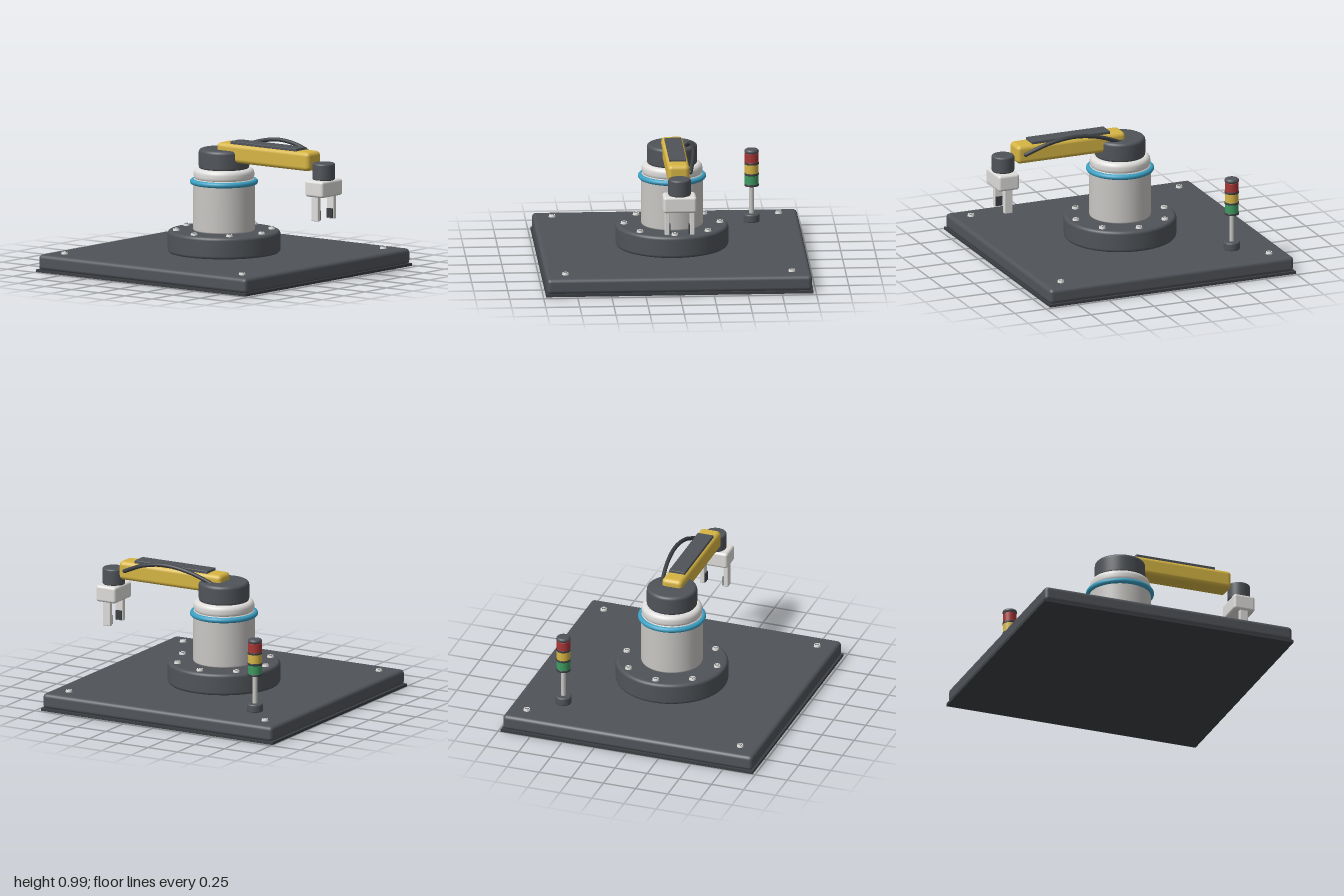
import * as THREE from 'three';
import { RoundedBoxGeometry } from 'three/addons/geometries/RoundedBoxGeometry.js';

const paint = (name, color) => {
  const m = new THREE.MeshStandardMaterial({ color });
  m.name = name;
  return m;
};

export function createModel() {
  const dark = paint('dark grey', 0x505459);
  const rubber = paint('charcoal', 0x3c3f43);
  const shell = paint('light grey', 0xc9c7c4);
  const white = paint('off white', 0xdedddb);
  const yellow = paint('yellow', 0xd6b544);
  const blue = paint('blue', 0x3aa0c4);
  const red = paint('red', 0xa83636);
  const green = paint('green', 0x3f9a62);

  const model = new THREE.Group();
  model.name = 'robotArmStation';

  const add = (name, geometry, material, x = 0, y = 0, z = 0, parent = model) => {
    const mesh = new THREE.Mesh(geometry, material);
    mesh.name = name;
    mesh.position.set(x, y, z);
    parent.add(mesh);
    return mesh;
  };

  // Closed cylinder from y0 to y1 with rounded rims
  const drum = (name, r, y0, y1, bevel, material, x, z, parent = model) => {
    const h = y1 - y0;
    const pts = [new THREE.Vector2(0, 0)];
    for (let i = 0; i <= 5; i++) {
      const a = (i / 5) * Math.PI / 2;
      pts.push(new THREE.Vector2(r - bevel + bevel * Math.sin(a), bevel - bevel * Math.cos(a)));
    }
    for (let i = 0; i <= 5; i++) {
      const a = (i / 5) * Math.PI / 2;
      pts.push(new THREE.Vector2(r - bevel + bevel * Math.cos(a), h - bevel + bevel * Math.sin(a)));
    }
    pts.push(new THREE.Vector2(0, h));
    return add(name, new THREE.LatheGeometry(pts, 48), material, x, y0, z, parent);
  };

  // Box given by its limits, with rounded edges
  const block = (name, [x0, x1], [y0, y1], [z0, z1], r, material, parent = model) =>
    add(name, new RoundedBoxGeometry(x1 - x0, y1 - y0, z1 - z0, 4, r), material,
      (x0 + x1) / 2, (y0 + y1) / 2, (z0 + z1) / 2, parent);

  // Floor plate and slab
  const cx = -0.02;
  add('floorPlate', new THREE.BoxGeometry(1.96, 0.02, 1.96), rubber, cx, 0.01, 0);
  block('baseSlab', [-0.99, 0.955], [0.015, 0.13], [-0.972, 0.972], 0.03, dark);

  // Bolts with a recessed-looking centre
  const bolts = new THREE.Group();
  bolts.name = 'bolts';
  model.add(bolts);
  const bolt = (x, y, z) => {
    add('boltHead', new THREE.CylinderGeometry(0.022, 0.026, 0.018, 16), white, x, y + 0.007, z, bolts);
    add('boltSocket', new THREE.CylinderGeometry(0.016, 0.016, 0.003, 6), dark, x, y + 0.016, z, bolts);
    add('boltCentre', new THREE.CylinderGeometry(0.011, 0.011, 0.003, 12), shell, x, y + 0.018, z, bolts);
  };
  for (const x of [-0.85, 0.81]) for (const z of [-0.83, 0.83]) bolt(x, 0.13, z);
  for (let i = 0; i < 8; i++) {
    const a = (i * Math.PI) / 4;
    bolt(cx + 0.352 * Math.cos(a), 0.29, 0.352 * Math.sin(a));
  }

  // Pedestal, column and shoulder
  drum('pedestal', 0.413, 0.125, 0.29, 0.025, dark, cx, 0);
  drum('column', 0.226, 0.285, 0.675, 0.015, shell, cx, 0);
  drum('collar', 0.222, 0.66, 0.75, 0.035, white, cx, 0);
  const ring = add('statusRing', new THREE.TorusGeometry(0.23, 0.02, 14, 64), blue, cx, 0.65, 0);
  ring.rotation.x = Math.PI / 2;
  drum('shoulder', 0.185, 0.74, 0.892, 0.025, dark, cx, 0);

  // Arm with top cover
  block('arm', [-0.035, 0.83], [0.805, 0.945], [-0.08, 0.08], 0.032, yellow);
  block('armCover', [0.085, 0.705], [0.94, 0.963], [-0.061, 0.061], 0.004, dark);

  // Cable arching behind the arm
  const path = new THREE.CatmullRomCurve3([
    [0.02, 0.88, -0.095], [0.2, 0.95, -0.118], [0.4, 0.98, -0.127],
    [0.6, 0.95, -0.118], [0.77, 0.88, -0.09],
  ].map((p) => new THREE.Vector3(...p)));
  add('cable', new THREE.TubeGeometry(path, 40, 0.015, 12), rubber);
  for (const t of [0, 1]) {
    const p = path.getPoint(t);
    add('cableEnd', new THREE.SphereGeometry(0.015, 12, 8), rubber, p.x, p.y, p.z);
  }

  // Wrist and gripper
  const wx = 0.913;
  drum('wrist', 0.083, 0.745, 0.872, 0.014, dark, wx, 0);
  block('palm', [0.831, 0.997], [0.628, 0.75], [-0.122, 0.122], 0.02, white);
  for (const s of [-1, 1]) {
    add('finger', new RoundedBoxGeometry(0.064, 0.19, 0.036, 3, 0.006), white, wx, 0.546, s * 0.092);
    add('fingerPad', new THREE.BoxGeometry(0.052, 0.07, 0.009), rubber, wx, 0.493, s * 0.071);
  }

  // Signal tower
  const tower = new THREE.Group();
  tower.name = 'signalTower';
  tower.position.set(-0.643, 0, -0.62);
  model.add(tower);
  drum('towerFoot', 0.06, 0.125, 0.19, 0.012, dark, 0, 0, tower);
  add('towerPole', new THREE.CylinderGeometry(0.017, 0.017, 0.23, 20), shell, 0, 0.295, 0, tower);
  [green, yellow, red].forEach((lamp, i) => {
    const y = 0.398 + i * 0.082;
    drum('lampSpacer', 0.053, y, y + 0.016, 0.003, rubber, 0, 0, tower);
    drum('lamp', 0.05, y + 0.014, y + 0.084, 0.003, lamp, 0, 0, tower);
  });
  drum('towerCap', 0.053, 0.642, 0.677, 0.017, dark, 0, 0, tower);

  return model;
}
